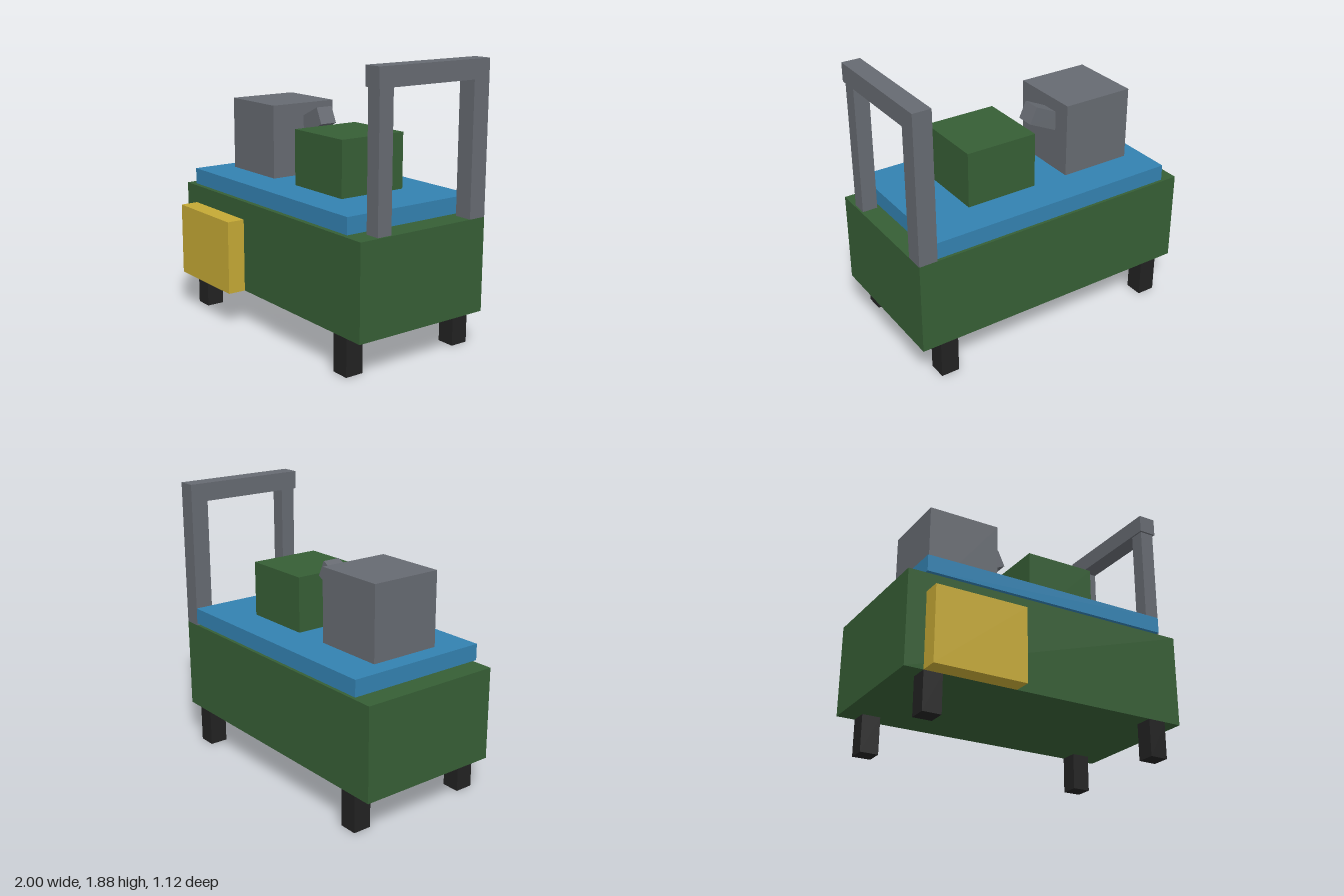
import * as THREE from 'three';

const material = (name, color) => {
  const m = new THREE.MeshStandardMaterial({ color });
  m.name = name;
  return m;
};

export function createModel() {
  const model = new THREE.Group();
  model.name = 'machine';

  const green = material('green', 0x365e35);
  const blue = material('blue', 0x3381b0);
  const grey = material('grey', 0x666a71);
  const yellow = material('yellow', 0xc4a835);
  const black = material('black', 0x222222);

  // Box given by its extents along each axis
  const box = (name, mat, [x0, x1], [y0, y1], [z0, z1], parent = model) => {
    const mesh = new THREE.Mesh(new THREE.BoxGeometry(x1 - x0, y1 - y0, z1 - z0), mat);
    mesh.name = name;
    mesh.position.set((x0 + x1) / 2, (y0 + y1) / 2, (z0 + z1) / 2);
    parent.add(mesh);
    return mesh;
  };

  // Body and side panel
  box('body', green, [-1, 1], [0.25, 0.875], [-0.5625, 0.4375]);
  box('sidePanel', yellow, [-0.875, -0.25], [0.25, 0.75], [0.4375, 0.5625]);

  // Legs
  for (const x of [-0.875, 0.75]) {
    for (const z of [-0.5625, 0.3125]) {
      box('leg', black, [x, x + 0.125], [0, 0.25], [z, z + 0.125]);
    }
  }

  // Table top, raised slightly above the body
  box('tableTop', blue, [-0.875, 0.875], [0.89, 1], [-0.5625, 0.4375]);

  // Head block with tilted nozzle, and the work block facing it
  box('headBlock', grey, [-0.75, -0.25], [0.875, 1.5], [-0.3125, 0.1875]);
  box('workBlock', green, [0, 0.5], [0.875, 1.375], [-0.3125, 0.1875]);
  const nozzle = box('nozzle', grey, [-0.3125, -0.0625], [1.317, 1.437], [-0.1875, -0.0625]);
  nozzle.rotation.z = THREE.MathUtils.degToRad(25);

  // Gantry frame at the end
  const frame = new THREE.Group();
  frame.name = 'frame';
  model.add(frame);
  box('backPost', grey, [0.875, 1], [0.875, 1.75], [-0.5625, -0.4375], frame);
  box('frontPost', grey, [0.886, 0.989], [0.875, 1.755], [0.196, 0.3], frame);
  box('crossBeam', grey, [0.875, 1], [1.75, 1.875], [-0.5625, 0.3125], frame);

  return model;
}
